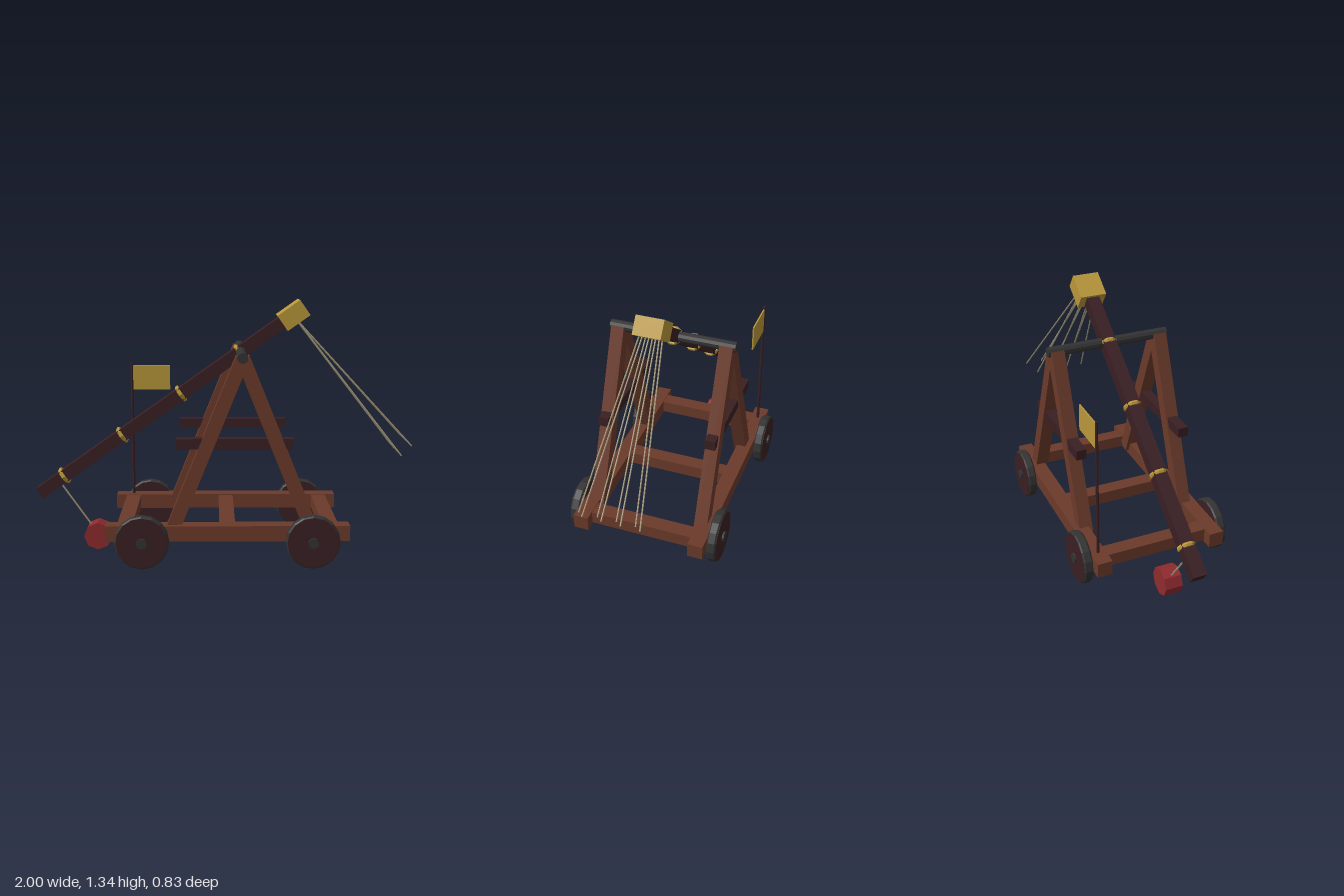
import * as THREE from 'three';

const mat = (name, color) => {
  const m = new THREE.MeshStandardMaterial({ color, flatShading: true });
  m.name = name;
  return m;
};

export function createModel() {
  const wood = mat('wood', 0x6b3a2a);
  const darkWood = mat('darkWood', 0x3a1f22);
  const iron = mat('iron', 0x333333);
  const brass = mat('brass', 0xb8963a);
  const ropeMat = mat('rope', 0xa09678);
  const red = mat('red', 0x8f2a2e);
  const model = new THREE.Group();
  model.name = 'siegeEngine';

  const add = (name, geo, material, x = 0, y = 0, z = 0, parent = model) => {
    const m = new THREE.Mesh(geo, material);
    m.name = name;
    m.position.set(x, y, z);
    parent.add(m);
    return m;
  };
  const box = (name, material, w, h, d, x, y, z, parent) =>
    add(name, new THREE.BoxGeometry(w, h, d), material, x, y, z, parent);
  // Stretches a y-aligned geometry maker between two points
  const between = (name, material, a, b, makeGeo) => {
    const p = new THREE.Vector3(...a), q = new THREE.Vector3(...b);
    const dir = q.clone().sub(p), mid = p.clone().add(q).multiplyScalar(0.5);
    const m = add(name, makeGeo(dir.length()), material, mid.x, mid.y, mid.z);
    m.quaternion.setFromUnitVectors(new THREE.Vector3(0, 1, 0), dir.normalize());
    return m;
  };
  const cord = (r) => (len) => new THREE.CylinderGeometry(r, r, len, 6);

  // Base frame, A-frames and braces
  const pivotX = 0.1, pivotY = 1.072;
  for (const s of [1, -1]) {
    box('sideRail', wood, 1.245, 0.08, 0.08, 0.025, 0.182, s * 0.313);
    for (const side of [1, -1]) {
      between('frameLeg', wood, [pivotX + side * 0.36, 0.18, s * 0.288], [pivotX, 1.07, s * 0.288],
        (len) => new THREE.BoxGeometry(0.07, len, 0.07));
    }
    box('sideBrace', darkWood, 0.595, 0.053, 0.055, 0.062, 0.638, s * 0.288);
  }
  for (const x of [-0.5, 0.025, 0.553]) box('crossBeam', wood, 0.08, 0.068, 0.56, x, 0.184, 0);

  // Wheels: bevelled tyre, painted discs and hub
  const tyreProfile = [[0, -0.024], [0.131, -0.024], [0.138, -0.017], [0.138, 0.017], [0.131, 0.024], [0, 0.024]]
    .map(([r, y]) => new THREE.Vector2(r, y));
  for (const x of [-0.408, 0.457]) {
    for (const s of [1, -1]) {
      const wheel = new THREE.Group();
      wheel.name = 'wheel';
      wheel.position.set(x, 0.1475, s * 0.377);
      wheel.rotation.x = Math.PI / 2;
      model.add(wheel);
      add('tyre', new THREE.LatheGeometry(tyreProfile, 16), iron, 0, 0, 0, wheel);
      add('wheelDisc', new THREE.CylinderGeometry(0.131, 0.131, 0.051, 16), darkWood, 0, 0, 0, wheel);
      add('hub', new THREE.CylinderGeometry(0.027, 0.027, 0.072, 10), iron, 0, 0, 0, wheel);
    }
  }

  // Pivot bar across the A-frames
  add('pivotBar', new THREE.CylinderGeometry(0.027, 0.027, 0.668, 10), iron, pivotX, pivotY, 0)
    .rotation.x = Math.PI / 2;

  // Throwing arm with bands and counterweight, built along its own x axis
  const arm = new THREE.Group();
  arm.name = 'throwingArm';
  arm.position.set(pivotX, pivotY, 0);
  arm.rotation.z = 0.615;
  model.add(arm);
  box('armBeam', darkWood, 1.622, 0.066, 0.07, -0.511, 0, 0, arm);
  box('counterweight', brass, 0.142, 0.095, 0.143, 0.333, 0, 0, arm);
  for (const t of [-1.16, -0.774, -0.388, -0.008]) {
    add('armBand', new THREE.TorusGeometry(0.038, 0.012, 6, 10), brass, t, 0, 0, arm)
      .rotation.y = Math.PI / 2;
  }

  // Pulling ropes fanned out from the counterweight
  for (let i = 0; i < 8; i++) {
    const k = 3.5 - i, odd = i % 2;
    between('pullRope', ropeMat, [0.385, 1.245, k * 0.016],
      [odd ? 0.995 : 0.933, odd ? 0.586 : 0.544, k * 0.048], cord(0.004));
  }

  // Sling and shot
  between('slingRope', ropeMat, [-0.875, 0.37, 0], [-0.69, 0.1, 0], cord(0.005));
  add('shot', new THREE.CylinderGeometry(0.075, 0.075, 0.094, 8), red, -0.671, 0.075, 0)
    .rotation.x = Math.PI / 2;

  // Flag
  add('flagPole', new THREE.CylinderGeometry(0.008, 0.008, 0.78, 8), darkWood, -0.502, 0.585, -0.313);
  box('flag', brass, 0.212, 0.138, 0.008, -0.394, 0.892, -0.313);

  return model;
}
